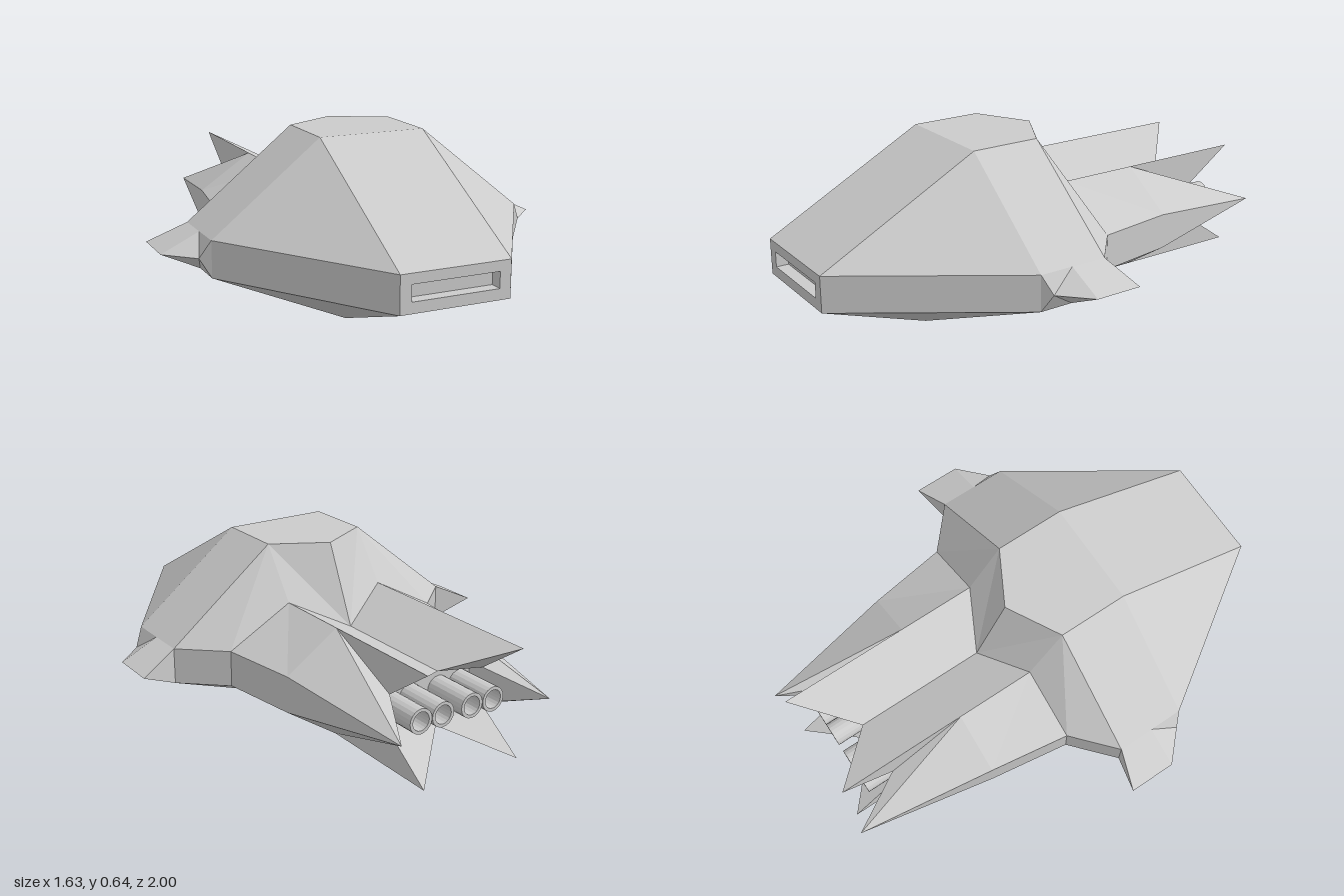
import * as THREE from 'three';

const MID = 0.22;            // height of the horizontal symmetry plane
const HI = 0.293, LO = 0.147; // top and bottom of the side belt
const TOP = 0.44;            // tail ridge height

const grey = () => new THREE.MeshStandardMaterial({ color: 0xcccccc, flatShading: true });

// Builds a faceted mesh from convex polygons given for the +x half.
// Each face is [outward hint, corner, corner, ...]; it is mirrored in x,
// and with bothY also across the MID plane.
function faceted(name, faces, bothY = false) {
  const pos = [];
  const v = (p) => new THREE.Vector3(...p);
  for (const [hint, ...pts] of faces) {
    for (const sx of [1, -1]) {
      for (const sy of bothY ? [1, -1] : [1]) {
        const out = new THREE.Vector3(hint[0] * sx, hint[1] * sy, hint[2]);
        const c = pts.map(([x, y, z]) => v([x * sx, MID + (y - MID) * sy, z]));
        for (let i = 1; i < c.length - 1; i++) {
          let [p, q, r] = [c[0], c[i], c[i + 1]];
          const n = q.clone().sub(p).cross(r.clone().sub(p));
          if (n.dot(out) < 0) [q, r] = [r, q];
          pos.push(...p, ...q, ...r);
        }
      }
    }
  }
  const g = new THREE.BufferGeometry();
  g.setAttribute('position', new THREE.Float32BufferAttribute(pos, 3));
  g.computeVertexNormals();
  const mesh = new THREE.Mesh(g, grey());
  mesh.name = name;
  return mesh;
}

export function createModel() {
  const model = new THREE.Group();
  model.name = 'spacecraft';

  // Canopy: sloped hood, flat roof, sides and stepped back
  const roofF = [0.22, 0.645, 0.34], roofB = [0.22, 0.645, 0.05];
  const beltF = [0.66, HI, 0.34], beltB = [0.66, HI, 0.05], waist = [0.49, HI, -0.1];
  const ridge0 = [0.22, TOP, -0.1], groove0 = [0, 0.33, -0.215];
  model.add(faceted('canopy', [
    [[0, 1, 1], [0, HI, 1], [0.22, HI, 1], roofF, [0, 0.645, 0.34]],
    [[1, 1, 1], [0.22, HI, 1], beltF, roofF],
    [[0, 1, 0], [0, 0.645, 0.34], roofF, roofB, [0, 0.645, -0.07]],
    [[1, 1, 0], roofF, beltF, beltB, roofB],
    [[1, 1, -1], roofB, beltB, waist, ridge0],
    [[0, 0.4, -1], roofB, ridge0, groove0, [0, 0.645, -0.07]],
  ]));

  // Vertical belt around the hull
  model.add(faceted('sideBelt', [
    [[1, 0, 1], [0.22, HI, 1], [0.22, LO, 1], [0.66, LO, 0.34], beltF],
    [[1, 0, -1], beltB, [0.66, LO, 0.05], [0.49, LO, -0.1], waist],
  ]));

  // Nose plate with a recessed slot
  const sx = 0.175, s0 = 0.19, s1 = 0.253, d = 0.95;
  model.add(faceted('noseSlot', [
    [[0, 0, 1], [0, HI, 1], [0.22, HI, 1], [sx, s1, 1], [0, s1, 1]],
    [[0, 0, 1], [0.22, HI, 1], [0.22, LO, 1], [sx, s0, 1], [sx, s1, 1]],
    [[0, 0, 1], [0, LO, 1], [0.22, LO, 1], [sx, s0, 1], [0, s0, 1]],
    [[0, -1, 0], [0, s1, 1], [sx, s1, 1], [sx, s1, d], [0, s1, d]],
    [[0, 1, 0], [0, s0, 1], [sx, s0, 1], [sx, s0, d], [0, s0, d]],
    [[-1, 0, 0], [sx, s0, 1], [sx, s1, 1], [sx, s1, d], [sx, s0, d]],
    [[0, 0, 1], [0, s0, d], [sx, s0, d], [sx, s1, d], [0, s1, d]],
  ]));

  // Belly: two keels with a groove between them
  const keelF = [0.22, 0, 0.57], keelM = [0.22, 0, 0.05];
  model.add(faceted('belly', [
    [[0, -1, 0.3], [0, LO, 1], [0.22, LO, 1], keelF, [0, 0.11, 0.892]],
    [[1, -1, 0.3], [0.22, LO, 1], [0.66, LO, 0.34], keelF],
    [[1, -1, 0], keelF, [0.66, LO, 0.34], [0.66, LO, 0.05], keelM],
    [[1, -1, 0], keelM, [0.66, LO, 0.05], [0.49, LO, -0.1], [0.22, 0, -0.1]],
    [[-1, -2, 0], [0, 0.11, 0.892], keelF, [0.22, 0, -0.975], [0, 0.11, -0.765]],
  ]));

  // Tail: ridges, pointed fins and engine bay, the same above and below
  const ridge1 = [0.22, TOP, -0.43], ridgeTip = [0.22, TOP, -0.975];
  const side1 = [0.44, HI, -0.43], finTip = [0.345, MID, -1];
  const notch = [0.22, HI, -0.765], notchMid = [0.22, MID, -0.765], grooveEnd = [0, 0.33, -0.765];
  const bay = -0.69;
  const inBay = ([x, y]) => [x, y, bay];
  model.add(faceted('tail', [
    [[1, 1, 0], ridge0, waist, side1, ridge1],
    [[1, 0, 0], waist, [0.49, MID, -0.1], [0.44, MID, -0.43], side1],
    [[1, 1, 0], ridge1, side1, finTip],
    [[0, 1, -1], ridge1, finTip, notch],
    [[1, 0, 0], side1, [0.44, MID, -0.43], finTip],
    [[-1, 0, -1], notch, notchMid, finTip],
    [[1, 0, 0], ridge1, ridgeTip, notch],
    [[0, -1, -1], ridgeTip, notch, grooveEnd],
    [[0, -1, 0], grooveEnd, notch, inBay(notch), inBay(grooveEnd)],
    [[-1, 0, 0], notch, notchMid, inBay(notchMid), inBay(notch)],
    [[0, 0, -1], inBay(grooveEnd), inBay(notch), inBay(notchMid), [0, MID, bay]],
  ], true));
  model.add(faceted('tailGroove', [
    [[-1, 2, 0], groove0, ridge0, ridgeTip, grooveEnd],
  ]));

  // Stub wings on the belt
  const nib = [0.7, MID, 0.31], root = [0.66, HI, 0.2];
  const tipF = [0.815, MID, 0.2], tipB = [0.815, MID, 0.005];
  model.add(faceted('stubWings', [
    [[1, 0, 1], beltF, [0.66, MID, 0.34], nib],
    [[1, 1, 0], beltF, nib, root],
    [[1, 1, 1], nib, tipF, root],
    [[1, 1, 0], root, tipF, tipB, beltB],
    [[0, 0, -1], beltB, tipB, [0.66, MID, 0.05]],
  ], true));

  // Four hollow exhaust pipes
  const profile = [[0.05, 0], [0.05, 0.195], [0.037, 0.195], [0.037, 0.06], [0, 0.06]]
    .map(([r, y]) => new THREE.Vector2(r, y));
  const pipeGeo = new THREE.LatheGeometry(profile, 20).rotateX(-Math.PI / 2);
  for (const x of [-0.169, -0.0675, 0.0675, 0.169]) {
    const pipe = new THREE.Mesh(pipeGeo, grey());
    pipe.name = 'exhaustPipe';
    pipe.position.set(x, MID, bay);
    model.add(pipe);
  }
  return model;
}
